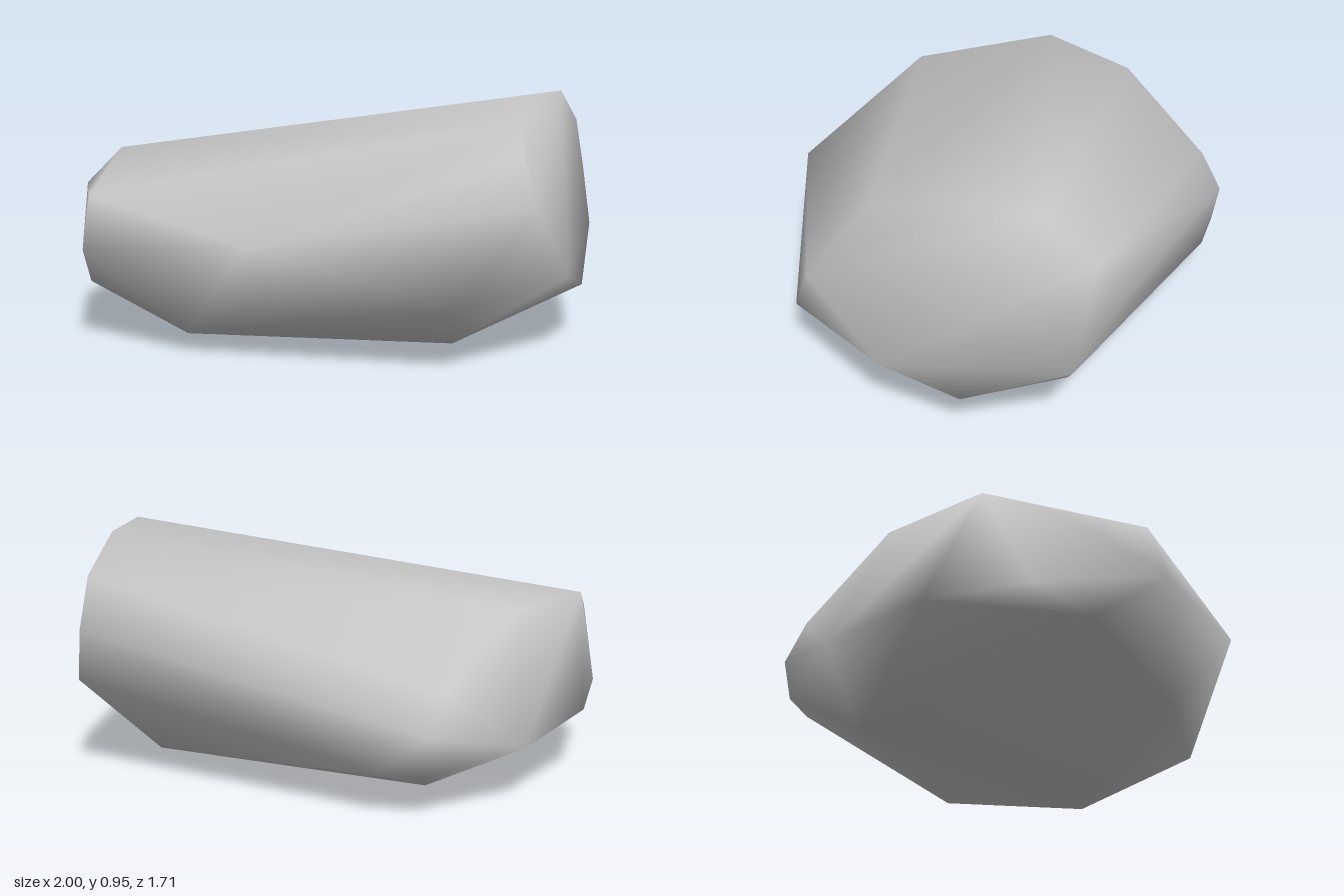
import * as THREE from 'three';
import { ConvexGeometry } from 'three/addons/geometries/ConvexGeometry.js';
import { mergeVertices } from 'three/addons/utils/BufferGeometryUtils.js';

// Corner points of the boulder, grouped by region
const highEnd = [
  [0.84, 0.95, 0], [0.88, 0.935, -0.27], [0.93, 0.8, -0.47], [0.96, 0.6, -0.51],
  [1, 0.38, -0.4], [1, 0.205, 0], [0.97, 0.3, 0.3], [0.87, 0.59, 0.57],
  [0.81, 0.757, 0.49], [0.8, 0.87, 0.35],
];
const lowEnd = [
  [-0.92, 0.68, -0.05], [-0.66, 0.685, -0.42], [-0.96, 0.57, 0.22], [-0.825, 0.57, 0.525],
  [-0.83, 0.37, 0.59], [-1, 0.28, 0.13], [-0.91, 0.19, 0.33],
  [-0.93, 0.26, -0.25], [-0.69, 0.22, -0.63],
];
const frontAndBack = [
  [-0.105, 0.465, 0.855], [0.62, 0.25, 0.71],
  [-0.35, 0.315, -0.855], [-0.4, 0.45, -0.77], [-0.33, 0.17, -0.83], [-0.15, 0.17, -0.8],
];
const underside = [
  [0.53, 0, 0.24], [-0.33, 0.045, -0.56], [-0.41, 0.075, 0.6], [0.7, 0.1, -0.35],
];

export function createModel() {
  const group = new THREE.Group();
  const stone = new THREE.MeshStandardMaterial({ color: 0xc4c4c4 });
  stone.name = 'stone grey';

  // Convex boulder with shared corners for smooth shading
  const points = [...highEnd, ...lowEnd, ...frontAndBack, ...underside]
    .map((p) => new THREE.Vector3(...p));
  let geometry = new ConvexGeometry(points);
  geometry.deleteAttribute('normal');
  geometry = mergeVertices(geometry, 1e-4);
  geometry.computeVertexNormals();

  const boulder = new THREE.Mesh(geometry, stone);
  boulder.name = 'boulder';
  group.add(boulder);
  return group;
}
